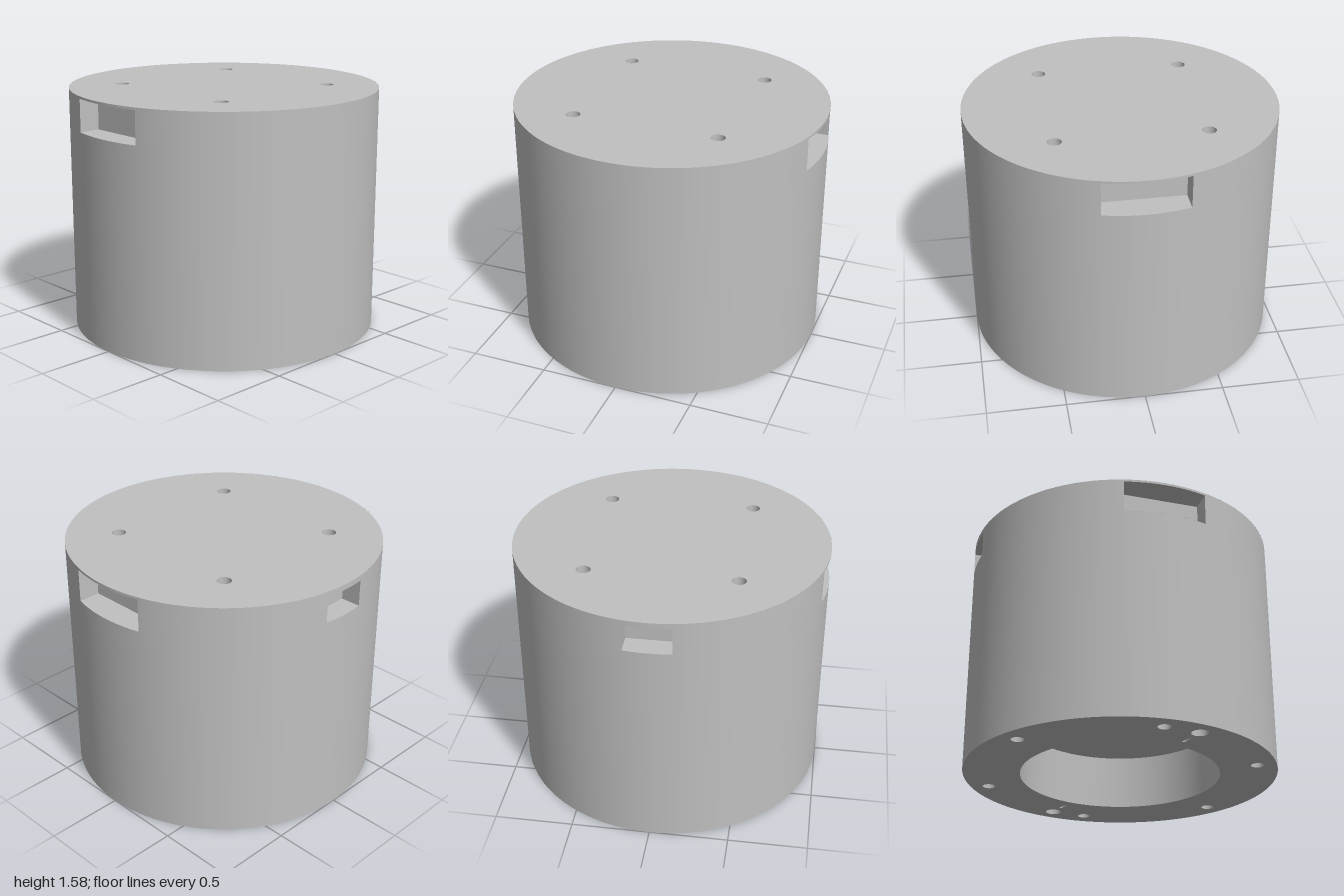
import * as THREE from 'three';

const R = 1, H = 1.58, SEG = 128;
const BORE_R = 0.637, BORE_DEPTH = 0.353;

export function createModel() {
  const model = new THREE.Group();
  model.name = 'housing';
  const grey = new THREE.MeshStandardMaterial({ color: 0xc0c0c0, side: THREE.DoubleSide });
  grey.name = 'metal grey';

  const add = (parent, name, geo, x = 0, y = 0, z = 0, ry = 0) => {
    const m = new THREE.Mesh(geo, grey);
    m.name = name;
    m.position.set(x, y, z);
    m.rotation.y = ry;
    parent.add(m);
    return m;
  };
  const disc = (r) => new THREE.Shape().absarc(0, 0, r, 0, Math.PI * 2, false);
  const circlePath = (x, z, r) => new THREE.Path().absarc(x, z, r, 0, Math.PI * 2, true);
  const wall = (y0, y1, start, length) =>
    new THREE.CylinderGeometry(R, R, y1 - y0, Math.max(4, Math.ceil(SEG * length / (Math.PI * 2))), 1, true, start, length)
      .translate(0, (y0 + y1) / 2, 0);

  // Blind round hole: tube wall plus its end, from y0 to y1, closed at endY
  const blindHole = (name, x, z, r, y0, y1, endY, seg = 32) => {
    const g = new THREE.Group();
    g.name = name;
    model.add(g);
    add(g, name + 'Wall', new THREE.CylinderGeometry(r, r, y1 - y0, seg, 1, true), x, (y0 + y1) / 2, z);
    const facing = endY === y0 ? -1 : 1;
    add(g, name + 'End', new THREE.CircleGeometry(r, seg).rotateX(facing * Math.PI / 2), x, endY, z);
  };

  // Side pockets: angle around the body, half width, flat back distance, height range
  const pockets = [
    { name: 'frontPocket', angle: 0, w: 0.265, back: 0.825, y0: 1.355, y1: 1.565 },
    { name: 'backPocket', angle: Math.PI, w: 0.265, back: 0.825, y0: 1.355, y1: 1.565 },
    { name: 'rightPocket', angle: Math.PI * 1.5, w: 0.147, back: 0.86, y0: 1.375, y1: 1.545 },
  ];
  pockets.forEach((p, i) => {
    const a = Math.asin(p.w / R), rim = Math.cos(a) * R;
    const h = p.y1 - p.y0, mid = (p.y0 + p.y1) / 2, depth = rim - p.back;
    const g = new THREE.Group();
    g.name = p.name;
    g.rotation.y = p.angle;
    model.add(g);

    // Outer wall below and above the opening
    add(g, 'wallBelow', wall(0, p.y0, -a, 2 * a));
    add(g, 'wallAbove', wall(p.y1, H, -a, 2 * a));

    // Floor and ceiling follow the curved rim
    const seg = new THREE.Shape();
    seg.moveTo(-p.w, p.back);
    seg.lineTo(p.w, p.back);
    seg.absarc(0, 0, R, Math.PI / 2 - a, Math.PI / 2 + a, false);
    add(g, 'pocketFloor', new THREE.ShapeGeometry(seg, 16).rotateX(Math.PI / 2), 0, p.y0);
    add(g, 'pocketCeiling', new THREE.ShapeGeometry(seg, 16).rotateX(Math.PI / 2), 0, p.y1);
    add(g, 'pocketBack', new THREE.PlaneGeometry(2 * p.w, h), 0, mid, p.back);
    for (const s of [-1, 1])
      add(g, 'pocketSide', new THREE.PlaneGeometry(depth, h), s * p.w, mid, p.back + depth / 2, -s * Math.PI / 2);

    // Plain outer wall up to the next pocket
    const next = pockets[(i + 1) % pockets.length];
    const start = p.angle + a;
    const end = next.angle + (i === pockets.length - 1 ? Math.PI * 2 : 0) - Math.asin(next.w / R);
    add(model, 'outerWall', wall(0, H, start, end - start));
  });

  // Top face with four screw holes
  const top = disc(R);
  for (const x of [-0.47, 0.47]) for (const z of [-0.47, 0.47]) {
    top.holes.push(circlePath(x, z, 0.045));
    blindHole('topHole', x, z, 0.045, H - 0.2, H, H - 0.2);
  }
  add(model, 'topFace', new THREE.ShapeGeometry(top, SEG / 2).rotateX(-Math.PI / 2), 0, H);

  // Bottom ring with the central bore
  const bottom = disc(R);
  bottom.holes.push(circlePath(0, 0, BORE_R));
  blindHole('centralBore', 0, 0, BORE_R, 0, BORE_DEPTH, BORE_DEPTH, SEG);

  // Six mounting holes on a bolt circle
  const bottomHole = (name, deg, r) => {
    const t = THREE.MathUtils.degToRad(deg);
    const x = 0.88 * Math.cos(t), z = 0.88 * Math.sin(t);
    bottom.holes.push(circlePath(x, z, r));
    blindHole(name, x, z, r, 0, 0.25, 0.25);
  };
  for (let k = 0; k < 6; k++) bottomHole('mountingHole', 30 + 60 * k, 0.041);

  // Two larger holes, each with a small radial slot beside it
  const slotR = 0.011, slotHalf = 0.024;
  for (const deg of [75, 255]) {
    bottomHole('dowelHole', deg, 0.052);
    const t = THREE.MathUtils.degToRad(deg);
    const x = 0.743 * Math.cos(t), z = 0.743 * Math.sin(t);
    const dx = slotHalf * Math.cos(t), dz = slotHalf * Math.sin(t);
    const path = new THREE.Path();
    path.absarc(x + dx, z + dz, slotR, t - Math.PI / 2, t + Math.PI / 2, false);
    path.absarc(x - dx, z - dz, slotR, t + Math.PI / 2, t + Math.PI * 1.5, false);
    bottom.holes.push(path);
    // Stretch a round tube into a slot
    const slot = new THREE.CylinderGeometry(slotR, slotR, 0.15, 24, 1, false);
    const pos = slot.attributes.position;
    for (let i = 0; i < pos.count; i++) {
      const px = pos.getX(i);
      if (Math.abs(px) > 1e-6) pos.setX(i, px + Math.sign(px) * slotHalf);
    }
    // Drop the lower cap so the slot stays open
    slot.setIndex(Array.from(slot.index.array).slice(0, slot.index.count - 24 * 3));
    slot.clearGroups();
    add(model, 'keySlot', slot, x, 0.075, z, -t);
  }
  add(model, 'bottomFace', new THREE.ShapeGeometry(bottom, SEG / 2).rotateX(Math.PI / 2));

  return model;
}
